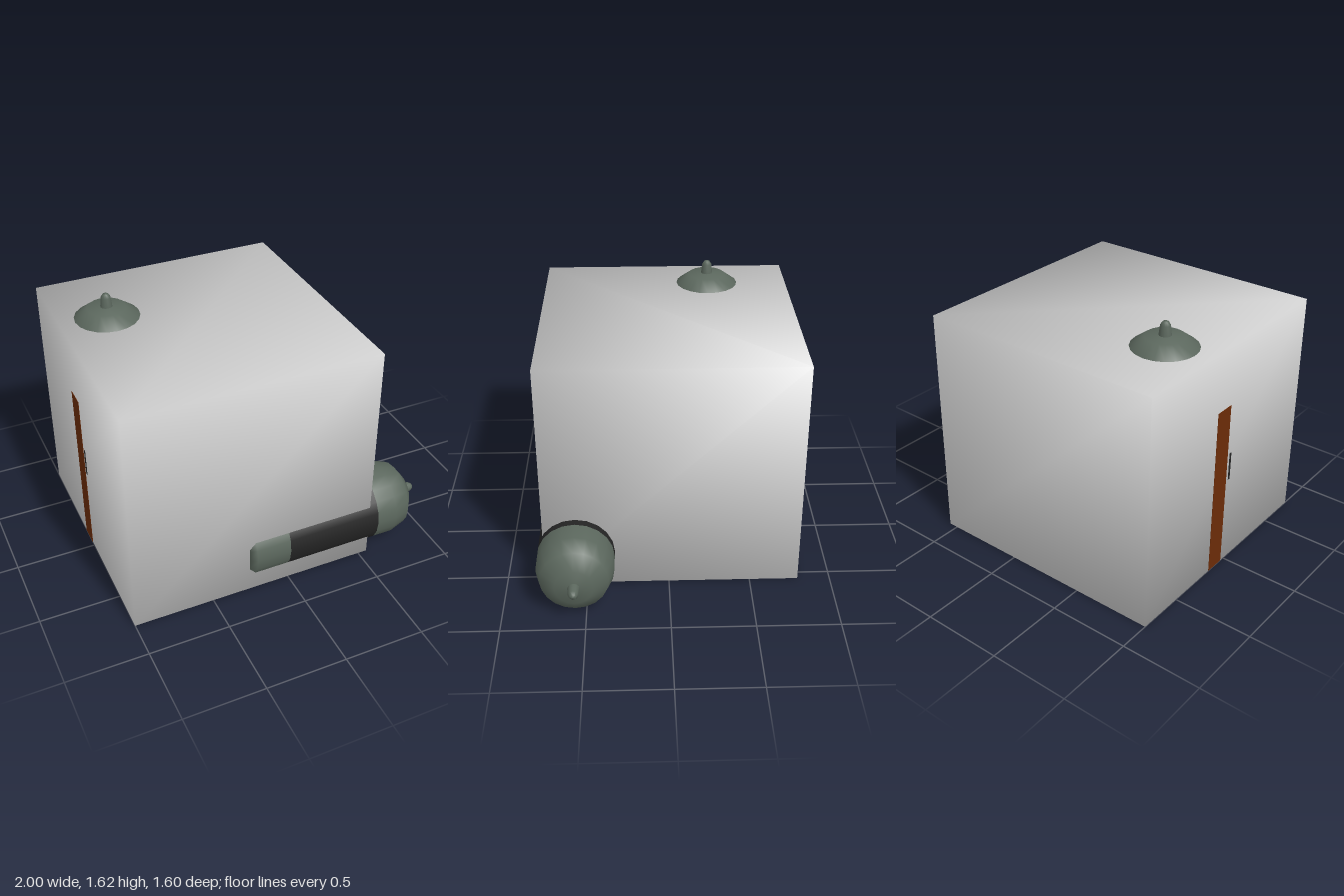
import * as THREE from 'three';
import { mergeVertices } from 'three/addons/utils/BufferGeometryUtils.js';

const mat = (name, color, side = THREE.FrontSide) => {
  const m = new THREE.MeshStandardMaterial({ color, side });
  m.name = name;
  return m;
};

export function createModel() {
  const model = new THREE.Group();
  const grey = mat('lightGrey', 0xd6d6d6);
  const green = mat('greyGreen', 0x5b675d);
  const black = mat('black', 0x242424);
  const brown = mat('brown', 0x6b2c08);

  const add = (parent, name, geometry, material, x = 0, y = 0, z = 0) => {
    const mesh = new THREE.Mesh(geometry, material);
    mesh.name = name;
    mesh.position.set(x, y, z);
    parent.add(mesh);
    return mesh;
  };

  // Lathe from [radius, height] pairs, listed from bottom to top
  const lathe = (points, sides = 20) =>
    new THREE.LatheGeometry(points.map(([r, h]) => new THREE.Vector2(r, h)), sides);

  // Large block with normals shared across its corners
  const block = new THREE.BoxGeometry(1.56, 1.47, 1.565);
  block.deleteAttribute('normal');
  block.deleteAttribute('uv');
  const smoothBlock = mergeVertices(block);
  smoothBlock.computeVertexNormals();
  add(model, 'block', smoothBlock, grey, -0.22, 0.735, -0.0175);

  // Capsule canister: base, dark band, domed head and nozzle, along +y
  const R = 0.235;
  const canister = (name) => {
    const group = new THREE.Group();
    group.name = name;
    add(group, 'canisterBase', lathe([[0, -0.26], [0.216, -0.26], [R, -0.22], [R, 0]]), green);
    add(group, 'canisterBand', lathe([[R, 0], [R, 0.61]]), black);
    add(group, 'canisterHead', lathe(
      [[R, 0.61], [R, 0.74], [0.203, 0.845], [0.115, 0.91], [0, 0.92]]), green);
    add(group, 'canisterNozzle', lathe(
      [[0.038, 0.9], [0.03, 0.975], [0.018, 0.995], [0, 1]], 12), green);
    model.add(group);
    return group;
  };

  const lying = canister('lyingCanister');
  lying.rotation.z = -Math.PI / 2;
  lying.position.set(0, 0.235, 0.565);

  const standing = canister('standingCanister');
  standing.position.set(-0.71, 0.62, -0.285);

  // Cabinet inside the block, its side edge just showing through the wall
  add(model, 'cabinet', new THREE.BoxGeometry(0.57, 1.09, 0.56), brown, -0.71, 0.55, -0.29);
  add(model, 'cabinetEdge', new THREE.BoxGeometry(0.004, 1.09, 0.13), brown, -1, 0.546, -0.095);
  add(model, 'cabinetHandle', new THREE.BoxGeometry(0.006, 0.18, 0.015), black, -1, 0.67, 0);

  return model;
}
